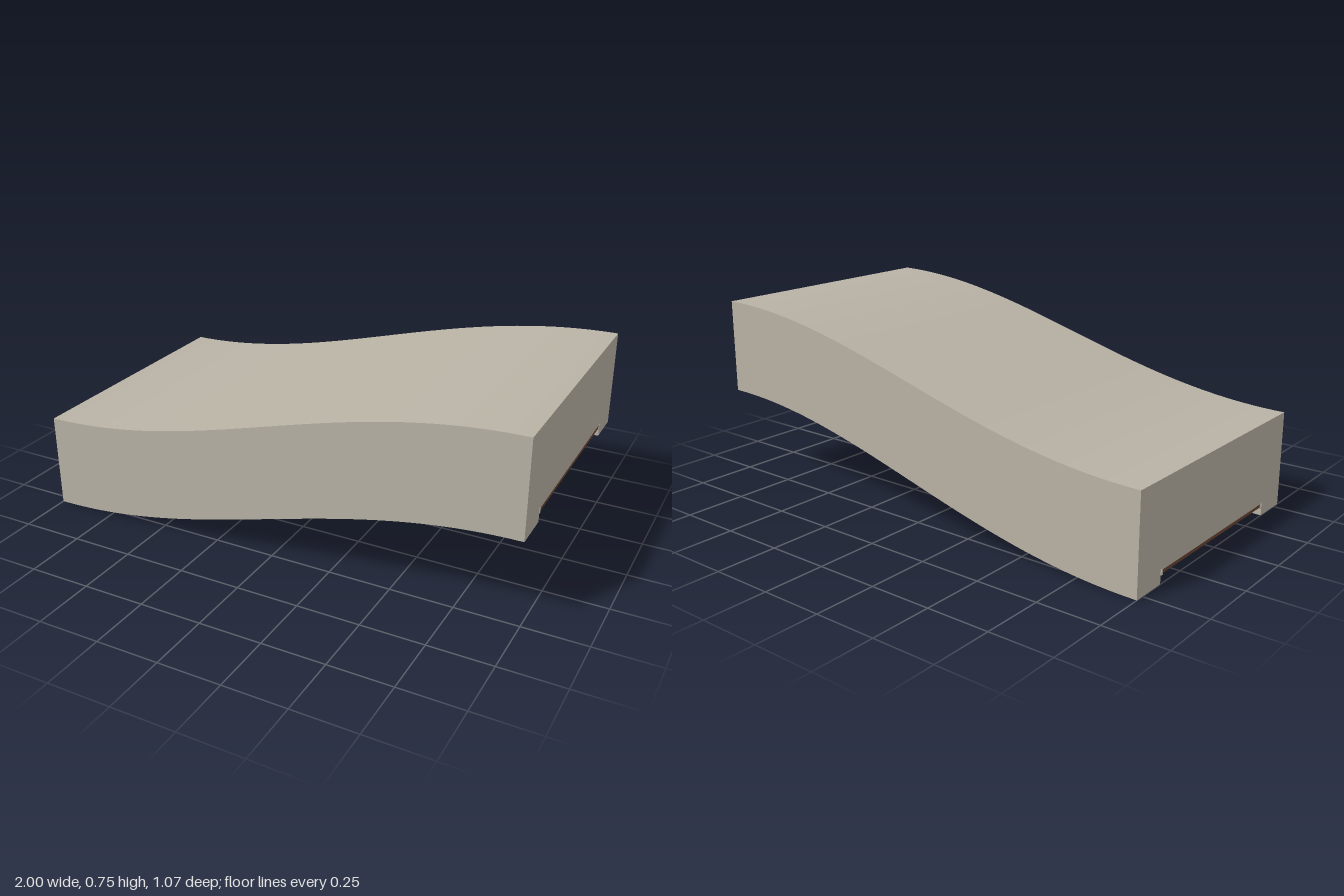
import * as THREE from 'three';
import { toCreasedNormals } from 'three/addons/utils/BufferGeometryUtils.js';

const LENGTH = 2;
const RISE = 0.36;

// Height of the S-shaped path at a given x
const pathHeight = (x) => (RISE / 2) * (1 - Math.cos((Math.PI * (x + 1)) / 2));

// Sweep a [z, y] cross-section along the path, keeping the ends vertical
function sweep(points) {
  const shape = new THREE.Shape(points.map(([z, y]) => new THREE.Vector2(z, y)));
  const geometry = new THREE.ExtrudeGeometry(shape, { depth: LENGTH, steps: 48, bevelEnabled: false });
  geometry.translate(0, 0, -LENGTH / 2);
  geometry.rotateY(Math.PI / 2);
  const p = geometry.attributes.position;
  for (let i = 0; i < p.count; i++) p.setY(i, p.getY(i) + pathHeight(p.getX(i)));
  geometry.computeVertexNormals();
  return toCreasedNormals(geometry, 0.5);
}

// Complete a half section with its mirror image
const mirrored = (half) => [...half, ...half.map(([z, y]) => [-z, y]).reverse()];

export function createModel() {
  const group = new THREE.Group();
  group.name = 'curvedRamp';

  const stone = new THREE.MeshStandardMaterial({ color: 0xb9b2a5 });
  stone.name = 'warm grey';
  const brown = new THREE.MeshStandardMaterial({ color: 0x6a4530 });
  brown.name = 'dark brown';

  // Slab with two bottom runners, narrow grooves and lips beside the recess
  const body = new THREE.Mesh(
    sweep(mirrored([
      [0.535, 0.385], [0.535, 0], [0.385, 0], [0.385, 0.055],
      [0.378, 0.055], [0.378, 0.03], [0.37, 0.03], [0.37, 0.05],
    ])),
    stone
  );
  body.name = 'slab';
  group.add(body);

  // Panel lining the underside recess
  const panel = new THREE.Mesh(sweep(mirrored([[0.37, 0.05], [0.37, 0.037]])), brown);
  panel.name = 'undersidePanel';
  group.add(panel);

  return group;
}
